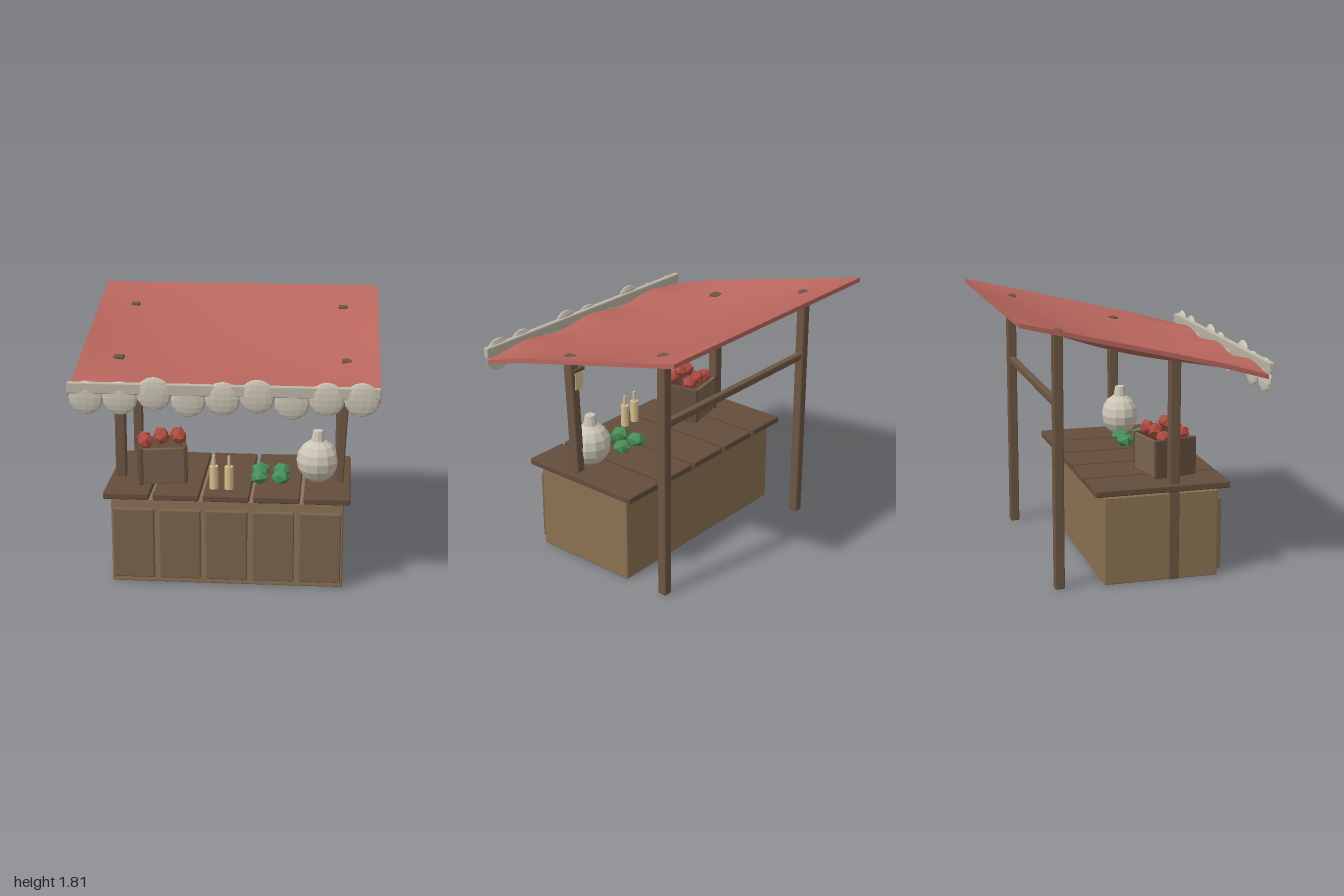
import * as THREE from 'three';
import { RoundedBoxGeometry } from 'three/addons/geometries/RoundedBoxGeometry.js';

const mat = (color, flatShading = false) => new THREE.MeshStandardMaterial({ color, flatShading });
const M = {
  counter: mat(0x8a7152), panel: mat(0x7a634d), plank: mat(0x644e3d), post: mat(0x6c5643),
  cloth: mat(0xb9665d), cream: mat(0xcdc6b6, true), trim: mat(0xbdb6a6),
  apple: mat(0xb04a3e, true), melon: mat(0x468f58, true), wax: mat(0xd8c08e),
};

export function createModel() {
  const stall = new THREE.Group();
  stall.name = 'marketStall';

  const add = (name, geometry, material, x, y, z, parent = stall) => {
    const mesh = new THREE.Mesh(geometry, material);
    mesh.name = name;
    mesh.position.set(x, y, z);
    parent.add(mesh);
    return mesh;
  };
  // Bevelled timber
  const board = (name, w, h, d, material, x, y, z, parent) =>
    add(name, new RoundedBoxGeometry(w, h, d, 1, Math.min(0.01, w / 4, h / 4, d / 4)), material, x, y, z, parent);

  // Counter with five front panels and five loose top planks
  board('counterBody', 1.57, 0.6, 0.78, M.counter, 0, 0.3, 0.15);
  const tilt = [0, 0.006, -0.004, 0.005, -0.003];
  for (let i = 0; i < 5; i++) {
    board('frontPanel', 0.28, 0.495, 0.05, M.panel, (i - 2) * 0.315, 0.29, 0.545);
    board('topPlank', 0.31, 0.046, 0.92, M.plank, (i - 2) * 0.336, 0.64, 0.15).rotation.z = tilt[i];
  }

  // Posts and rear crossbar
  for (const x of [-0.75, 0.75]) board('backPost', 0.066, 1.72, 0.066, M.post, x, 0.86, -0.54);
  board('rightFrontPost', 0.072, 1.52, 0.072, M.post, -0.755, 0.76, 0.235);
  board('leftFrontPost', 0.066, 1.4, 0.072, M.post, 0.752, 0.82, 0.235).rotation.z = -0.045;
  board('rearCrossbar', 1.46, 0.05, 0.045, M.post, 0, 1.24, -0.54);

  // Cloth roof: sloped sheet sagging between its edges, rippled at the front
  const roof = new THREE.BoxGeometry(2, 0.03, 1.62, 32, 1, 24);
  const p = roof.attributes.position;
  for (let i = 0; i < p.count; i++) {
    const x = p.getX(i), t = (0.81 - p.getZ(i)) / 1.62;
    const sag = 0.115 * Math.sin(Math.PI * t) * (1 - Math.abs(x) ** 2.5);
    const ripple = 0.018 * Math.cos(x * 9.5) * Math.max(0, 1 - t * 5);
    p.setXYZ(i, x, p.getY(i) + 1.41 + 0.388 * t - sag + ripple, 0.79 - 1.62 * t);
  }
  roof.computeVertexNormals();
  add('clothRoof', roof, M.cloth, 0, 0, 0);

  // Front trim with a row of hanging scallops
  board('awningTrim', 2, 0.075, 0.04, M.trim, 0, 1.448, 0.81);
  const scallopY = [1.383, 1.383, 1.418, 1.378, 1.395, 1.415, 1.375, 1.405, 1.408];
  const scallopZ = [0.808, 0.808, 0.816, 0.806, 0.814, 0.816, 0.806, 0.815, 0.815];
  scallopY.forEach((y, i) => {
    const s = add('scallop', new THREE.SphereGeometry(0.113, 12, 8), M.cream, (i - 4) * 0.22, y, scallopZ[i]);
    s.scale.z = 0.2;
    s.rotation.x = 0.06;
  });

  // Open crate of apples
  const crate = new THREE.Group();
  crate.name = 'appleCrate';
  crate.position.set(-0.47, 0.663, 0.26);
  crate.rotation.y = 0.2;
  stall.add(crate);
  board('crateFloor', 0.29, 0.025, 0.28, M.panel, 0, 0.015, 0, crate);
  for (const s of [-1, 1]) {
    board('crateEnd', 0.29, 0.25, 0.025, M.panel, 0, 0.13, s * 0.14, crate);
    board('crateSide', 0.03, 0.262, 0.31, M.plank, s * 0.15, 0.131, 0, crate);
  }
  for (let i = 0; i < 6; i++) {
    const col = i % 3, row = Math.floor(i / 3);
    const a = add('apple', new THREE.IcosahedronGeometry(0.054, 0), M.apple,
      (col - 1) * 0.115, 0.285 + (col ? 0.025 : 0) - row * 0.02, 0.07 - row * 0.14, crate);
    a.rotation.y = i * 0.7;
  }

  // Candles
  for (const x of [-0.092, 0.01]) {
    add('candle', new THREE.CylinderGeometry(0.03, 0.03, 0.16, 10), M.wax, x, 0.743, 0.46);
    add('candleTip', new THREE.CylinderGeometry(0.01, 0.012, 0.075, 8), M.wax, x, 0.858, 0.46);
  }

  // Melons
  for (const x of [0.207, 0.353]) for (const z of [0.33, 0.18]) {
    const m = add('melon', new THREE.IcosahedronGeometry(0.068, 0), M.melon, x, 0.71, z);
    m.scale.y = 0.75;
    m.rotation.y = x * 5 + z * 3;
  }

  // Round jar
  add('jarBody', new THREE.SphereGeometry(0.145, 12, 8), M.cream, 0.6, 0.81, 0.245).scale.set(1, 1.05, 0.93);
  add('jarNeck', new THREE.CylinderGeometry(0.035, 0.052, 0.085, 10), M.cream, 0.6, 0.98, 0.245);

  // Lantern on the left front post
  board('lanternGlass', 0.08, 0.14, 0.085, M.wax, 0.745, 1.34, 0.238);
  board('lanternCap', 0.1, 0.025, 0.1, M.plank, 0.745, 1.415, 0.238);

  return stall;
}
